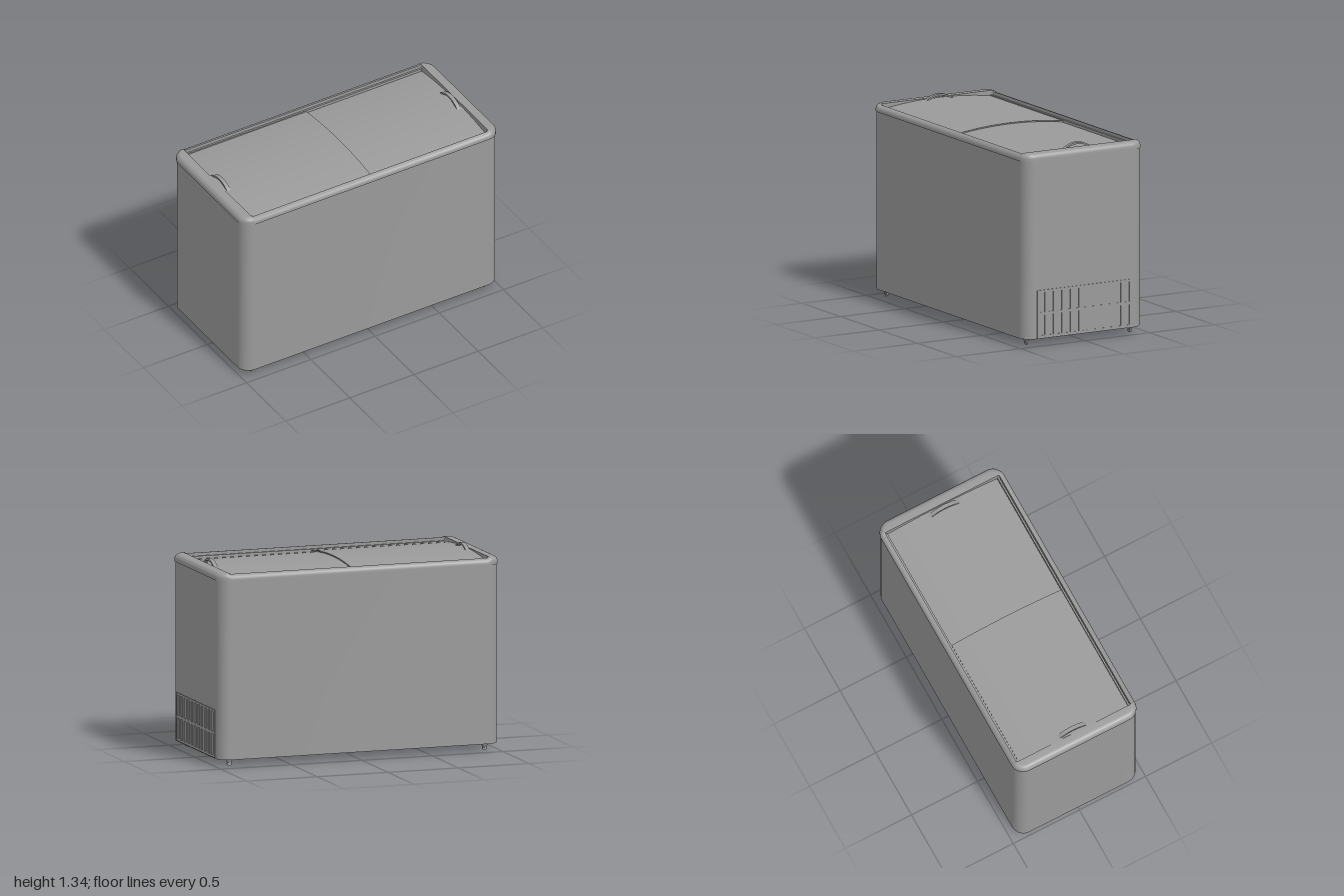
import * as THREE from 'three';
import { toCreasedNormals } from 'three/addons/utils/BufferGeometryUtils.js';

const grey = new THREE.MeshStandardMaterial({ color: 0x9a9a9a, side: THREE.DoubleSide });

function add(parent, name, geometry, x = 0, y = 0, z = 0) {
  const mesh = new THREE.Mesh(geometry, grey);
  mesh.name = name;
  mesh.position.set(x, y, z);
  parent.add(mesh);
}

// Rounded rectangle loop at height y; lift raises its two ends
function loop(hx, hz, r, y, lift = 0, steps = 8) {
  const points = [];
  for (let q = 0; q < 4; q++) {
    const sx = q === 0 || q === 3 ? 1 : -1;
    const sz = q < 2 ? 1 : -1;
    for (let i = 0; i <= steps; i++) {
      const a = (q + i / steps) * Math.PI / 2;
      const x = sx * (hx - r) + r * Math.cos(a);
      const isEnd = Math.abs(x) > hx - r + 0.0001;
      points.push([x, isEnd ? y + lift : y, sz * (hz - r) + r * Math.sin(a)]);
    }
  }
  return points;
}

// Skin through the loops, closing the first and/or last one
function loft(rings, capFirst, capLast) {
  const n = rings[0].length, index = [];
  const positions = rings.flat(2);
  for (let k = 0; k < rings.length - 1; k++) {
    for (let i = 0; i < n; i++) {
      const a = k * n + i, b = k * n + (i + 1) % n;
      index.push(a, a + n, b, b, a + n, b + n);
    }
  }
  const cap = (k, flip) => {
    const c = positions.length / 3;
    positions.push(0, rings[k][0][1], 0);
    for (let i = 0; i < n; i++) {
      const a = k * n + i, b = k * n + (i + 1) % n;
      if (flip) index.push(c, b, a);
      else index.push(c, a, b);
    }
  };
  if (capFirst) cap(0, false);
  if (capLast) cap(rings.length - 1, true);
  const geometry = new THREE.BufferGeometry();
  geometry.setAttribute('position', new THREE.Float32BufferAttribute(positions, 3));
  geometry.setIndex(index);
  return toCreasedNormals(geometry, 0.6);
}

// Shallow arch across z, extruded from x0 to x1
function arch(half, yEdge, yCrest, thick, x0, x1) {
  const top = [], bottom = [], n = 20;
  for (let i = 0; i <= n; i++) {
    const t = i / n * 2 - 1;
    const y = yEdge + (yCrest - yEdge) * (1 - t * t);
    top.push(new THREE.Vector2(t * half, y));
    bottom.unshift(new THREE.Vector2(t * half, y - thick));
  }
  const geometry = new THREE.ExtrudeGeometry(new THREE.Shape([...top, ...bottom]),
    { depth: x1 - x0, bevelEnabled: false });
  geometry.rotateY(Math.PI / 2).translate(x0, 0, 0);
  return toCreasedNormals(geometry, 0.5);
}

function rectangle(path, x0, y0, x1, y1) {
  path.moveTo(x0, y0);
  path.lineTo(x1, y0);
  path.lineTo(x1, y1);
  path.lineTo(x0, y1);
  path.closePath();
  return path;
}

// Grille panel with two rows of upright slots
function ventGeometry() {
  const shape = rectangle(new THREE.Shape(), -0.37, 0.055, 0.37, 0.38);
  const columns = 11, pitch = 0.72 / columns, width = 0.034;
  for (let i = 0; i < columns; i++) {
    const s = -0.36 + pitch * (i + 0.5) - width / 2;
    for (const [y0, y1] of [[0.072, 0.21], [0.23, 0.365]]) {
      shape.holes.push(rectangle(new THREE.Path(), s, y0, s + width, y1));
    }
  }
  const geometry = new THREE.ExtrudeGeometry(shape, { depth: 0.006, bevelEnabled: false });
  return geometry.rotateY(Math.PI / 2);
}

export function createModel() {
  const model = new THREE.Group();
  model.name = 'chestFreezer';

  // Cabinet
  add(model, 'cabinet', loft([
    loop(0.995, 0.46, 0.085, 0.05),
    loop(0.995, 0.46, 0.085, 1.262),
  ], true, false));

  // Rim with rounded shoulder, slightly raised ends, inner wall and well floor
  const lift = 0.008;
  const rim = [loop(0.985, 0.45, 0.075, 1.258), loop(1, 0.467, 0.09, 1.258)];
  for (let i = 0; i <= 6; i++) {
    const a = i / 6 * Math.PI / 2, inset = 0.034 * (1 - Math.cos(a));
    rim.push(loop(1 - inset, 0.467 - inset, 0.09 - inset, 1.268 + 0.033 * Math.sin(a), lift));
  }
  rim.push(loop(0.922, 0.431, 0.012, 1.301, lift), loop(0.922, 0.431, 0.012, 1.235));
  add(model, 'rim', loft(rim, false, true));

  // Slide rails along the front and back
  for (const side of [1, -1]) {
    add(model, 'slideRail', new THREE.BoxGeometry(1.84, 0.045, 0.012), 0, 1.2575, side * 0.422);
  }

  // Domed sliding lids, the right one (-x) running above the other
  add(model, 'upperLid', arch(0.414, 1.273, 1.305, 0.008, -0.92, 0.022));
  add(model, 'lowerLid', arch(0.414, 1.262, 1.294, 0.008, -0.02, 0.92));

  // Lid handles
  add(model, 'upperLidHandle', arch(0.125, 1.287, 1.337, 0.012, -0.91, -0.882));
  add(model, 'lowerLidHandle', arch(0.125, 1.281, 1.333, 0.012, 0.877, 0.905));

  // Ventilation grille on the left end
  add(model, 'ventGrille', ventGeometry(), 0.993, 0, 0);

  // Casters
  for (const x of [-0.905, 0.905]) {
    for (const z of [-0.4, 0.4]) {
      const caster = new THREE.Group();
      caster.name = 'caster';
      caster.position.set(x, 0, z);
      add(caster, 'casterMount', new THREE.CylinderGeometry(0.026, 0.016, 0.024, 16), 0, 0.038, 0);
      add(caster, 'casterWheel',
        new THREE.CylinderGeometry(0.016, 0.016, 0.012, 20).rotateX(Math.PI / 2), 0, 0.016, 0);
      add(caster, 'casterAxle',
        new THREE.CylinderGeometry(0.004, 0.004, 0.02, 10).rotateX(Math.PI / 2), 0, 0.018, 0);
      model.add(caster);
    }
  }
  return model;
}
